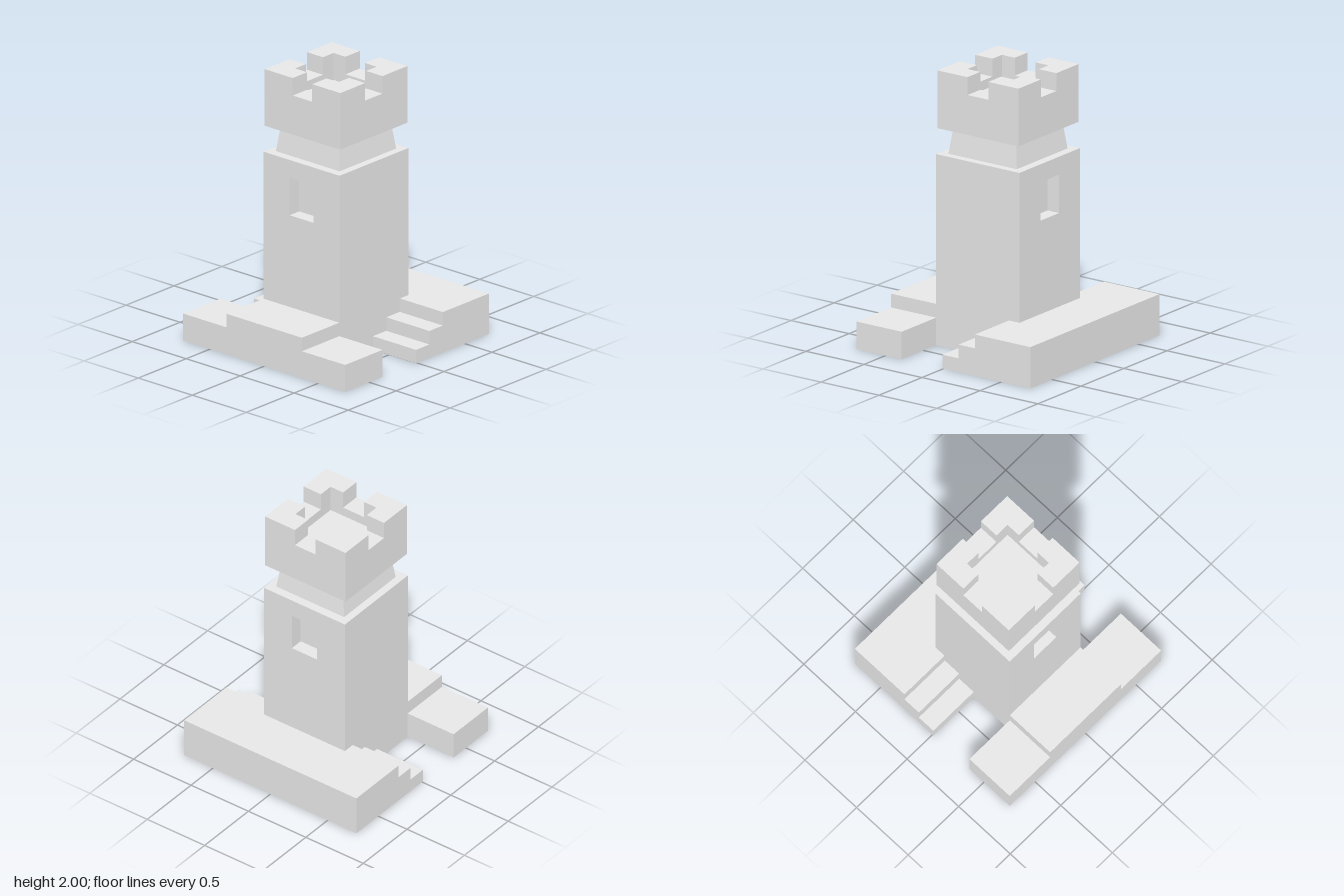
import * as THREE from 'three';

export function createModel() {
  const model = new THREE.Group();
  model.name = 'tower';
  const stone = new THREE.MeshStandardMaterial({ color: 0xe7e7e7 });
  stone.name = 'pale grey stone';

  const add = (name, geometry, parent = model) => {
    const mesh = new THREE.Mesh(geometry, stone);
    mesh.name = name;
    parent.add(mesh);
    return mesh;
  };
  // Box given by its limits on each axis
  const block = (name, [x0, x1], [y0, y1], [z0, z1]) => {
    const g = new THREE.BoxGeometry(x1 - x0, y1 - y0, z1 - z0);
    g.translate((x0 + x1) / 2, (y0 + y1) / 2, (z0 + z1) / 2);
    return add(name, g);
  };
  const outline = (pts, Type = THREE.Shape) => new Type(pts.map(([x, y]) => new THREE.Vector2(x, y)));
  const rect = (x0, x1, y0, y1) => [[x0, y0], [x1, y0], [x1, y1], [x0, y1]];
  const extrude = (shape, depth) => new THREE.ExtrudeGeometry(shape, { depth, bevelEnabled: false });
  // Plan shape raised from y0 to y1
  const raise = (shape, y0, y1) => extrude(shape, y1 - y0).rotateX(-Math.PI / 2).translate(0, y0, 0);

  // Plinth: rear terrace, raised middle, and on each side a stair and a low front wing
  block('rearTerrace', [-0.75, 0.75], [0, 0.3], [-0.75, -0.27]);
  block('plinthMiddle', [-0.35, 0.35], [0, 0.3], [-0.27, 0.75]);
  for (const [side, a, b] of [['left', 0.35, 0.75], ['right', -0.75, -0.35]]) {
    block(side + 'UpperStep', [a, b], [0, 0.2], [-0.27, -0.13]);
    block(side + 'LowerStep', [a, b], [0, 0.1], [-0.13, 0.01]);
    block(side + 'FrontWing', [a, b], [0, 0.2], [0.36, 0.75]);
  }

  // Tower body: a core with a windowed wall on the front and the back
  const half = 0.352, recess = 0.1, wallFace = 0.36;
  block('towerCore', [-half, half], [0.3, 1.39], [recess - wallFace, wallFace - recess]);
  const wall = outline(rect(-half, half, 0.3, 1.39));
  wall.holes.push(outline(rect(-0.11, 0.11, 0.98, 1.26), THREE.Path));
  const wallGeometry = extrude(wall, recess).translate(0, 0, wallFace - recess);
  add('frontWindowWall', wallGeometry);
  add('backWindowWall', wallGeometry).rotation.y = Math.PI;

  // Neck tapering up to the crown
  const neck = new THREE.CylinderGeometry(0.27 * Math.SQRT2, 0.295 * Math.SQRT2, 0.19, 4)
    .rotateY(Math.PI / 4).translate(0, 1.485, 0).toNonIndexed();
  neck.computeVertexNormals();
  add('neck', neck);

  // Crown: parapet around a sunken floor
  const parapet = outline(rect(-0.35, 0.35, -0.35, 0.35));
  parapet.holes.push(outline(rect(-0.2, 0.2, -0.2, 0.2), THREE.Path));
  add('parapet', raise(parapet, 1.58, 1.87));
  block('crownFloor', [-0.2, 0.2], [1.58, 1.8], [-0.2, 0.2]);

  // L-shaped merlon on each corner
  const corner = outline([[0.09, 0.2], [0.2, 0.2], [0.2, 0.09], [0.35, 0.09], [0.35, 0.35], [0.09, 0.35]]);
  const merlonGeometry = raise(corner, 1.87, 2);
  for (let i = 0; i < 4; i++) add('merlon' + (i + 1), merlonGeometry).rotation.y = i * Math.PI / 2;

  return model;
}
